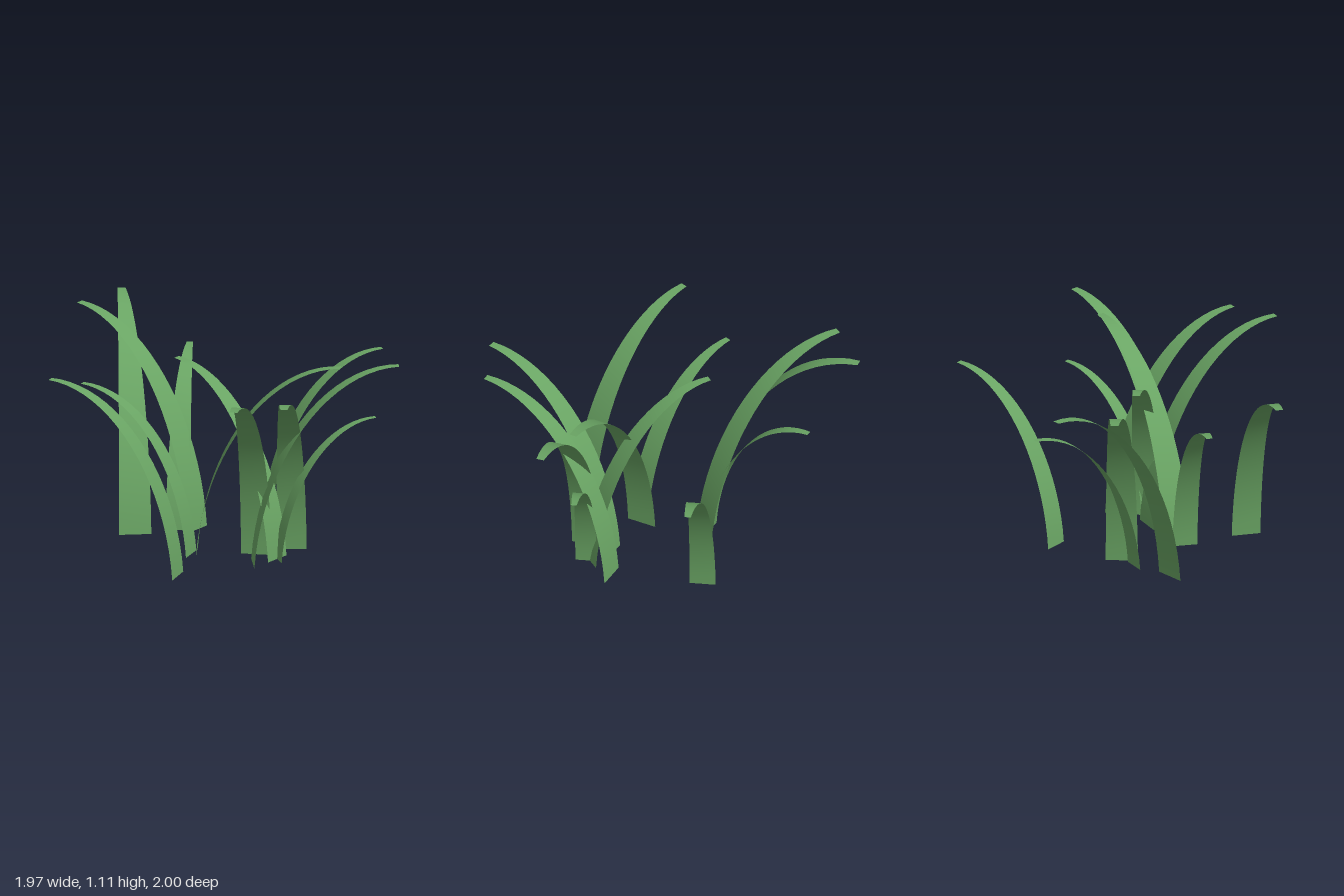
import * as THREE from 'three';

const material = new THREE.MeshStandardMaterial({ color: 0x6aa564, side: THREE.DoubleSide });
const STEPS = 20;

// One flat blade: rises steeply, arches over to a level tip and tapers to a quarter of its width
function makeBlade(baseX, baseZ, tipX, tipZ, height) {
  const dx = tipX - baseX, dz = tipZ - baseZ, reach = Math.hypot(dx, dz);
  const sideX = -dz / reach, sideZ = dx / reach;
  const positions = [], indices = [];
  for (let i = 0; i <= STEPS; i++) {
    const a = (i / STEPS) * Math.PI / 2;
    const u = 0.9 * (1 - Math.cos(a)) + 0.1 * Math.sin(a);
    const half = 0.0775 * height * (1 - 0.75 * u);
    for (const s of [-1, 1]) {
      positions.push(
        baseX + dx * u + s * half * sideX,
        height * Math.sin(a),
        baseZ + dz * u + s * half * sideZ
      );
    }
    if (i < STEPS) {
      const k = i * 2;
      indices.push(k, k + 1, k + 2, k + 1, k + 3, k + 2);
    }
  }
  const geometry = new THREE.BufferGeometry();
  geometry.setAttribute('position', new THREE.Float32BufferAttribute(positions, 3));
  geometry.setIndex(indices);
  geometry.computeVertexNormals();
  return new THREE.Mesh(geometry, material);
}

export function createModel() {
  const group = new THREE.Group();
  group.name = 'grassTuft';

  // base x, base z, tip x, tip z, height
  const blades = [
    // leaning back
    [-0.395, -0.235, -0.13, -0.995, 1.11],
    [-0.065, -0.17, -0.425, -0.885, 1.11],
    [-0.16, -0.205, 0.15, -0.73, 0.85],
    [0.13, 0.435, -0.17, -0.2, 0.98],
    // leaning right
    [-0.255, 0.175, -0.675, -0.3, 0.875],
    [-0.465, 0.465, -0.97, -0.065, 1.015],
    // leaning left
    [0.34, -0.165, 0.98, -0.085, 0.9],
    [-0.02, 0.45, 0.72, 0.7, 1.09],
    [-0.215, 0.16, 0.46, 0.525, 1.06],
    [0.127, 0.455, 0.665, 0.52, 0.75],
    // leaning forward
    [0.265, 0.32, -0.085, 0.99, 1.05],
    [0.06, 0.32, -0.365, 0.96, 1.065],
  ];
  blades.forEach((b, i) => {
    const blade = makeBlade(...b);
    blade.name = `grassBlade${i + 1}`;
    group.add(blade);
  });
  return group;
}
